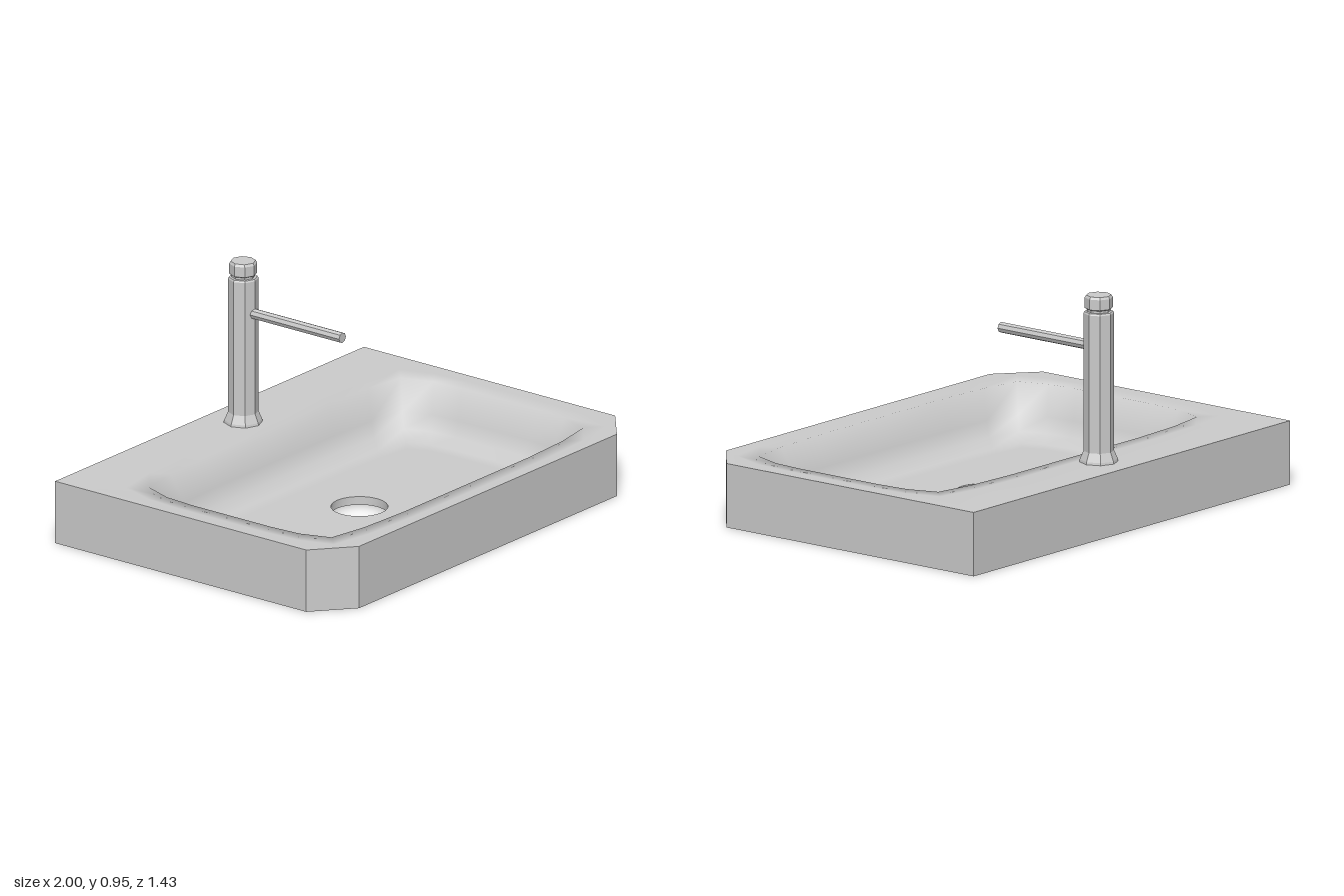
import * as THREE from 'three';

const RIM = 0.265, FLOOR = 0.045, BOWL_Z = 0.09;

// Full 24-point loop from a front quarter and a back quarter (7 points each, from +x towards z)
function loop(front, back = front) {
  const points = [];
  for (let i = 0; i < 24; i++) {
    const q = Math.floor(i / 6), r = i % 6;
    const table = q < 2 ? front : back;
    const [x, z] = table[q % 2 ? 6 - r : r];
    points.push([q === 1 || q === 2 ? -x : x, q < 2 ? z : -z]);
  }
  return points;
}

// Each ring is { points, y, z }; neighbouring rings are joined by quads
function loft(rings) {
  const positions = [], index = [], n = 24;
  for (const { points, y, z = 0 } of rings) {
    for (const [px, pz] of points) positions.push(px, y, pz + z);
  }
  for (let k = 0; k < rings.length - 1; k++) {
    for (let i = 0; i < n; i++) {
      const a = k * n + i, a2 = k * n + (i + 1) % n;
      index.push(a, a + n, a2, a2, a + n, a2 + n);
    }
  }
  const geometry = new THREE.BufferGeometry();
  geometry.setAttribute('position', new THREE.Float32BufferAttribute(positions, 3));
  geometry.setIndex(index);
  geometry.computeVertexNormals();
  return geometry;
}

export function createModel() {
  const model = new THREE.Group();
  model.name = 'washbasin';

  const smooth = new THREE.MeshStandardMaterial({ color: 0xcccccc, side: THREE.DoubleSide });
  const flat = new THREE.MeshStandardMaterial({ color: 0xcccccc, side: THREE.DoubleSide, flatShading: true });
  const add = (parent, name, geometry, material) => {
    const mesh = new THREE.Mesh(geometry, material);
    mesh.name = name;
    parent.add(mesh);
    return mesh;
  };

  // Outline with chamfered front corners and square back corners
  const outline = loop(
    [[1, 0.09], [1, 0.29], [1, 0.575], [0.835, 0.715], [0.64, 0.715], [0.4, 0.715], [0, 0.715]],
    [[1, -0.09], [1, 0.11], [1, 0.29], [1, 0.715], [0.64, 0.715], [0.4, 0.715], [0, 0.715]]);

  // Rounded-rectangle edge of the bowl, about the bowl centre
  const edge = loop([[0.87, 0], [0.87, 0.2], [0.86, 0.34], [0.815, 0.468], [0.64, 0.498], [0.4, 0.51], [0, 0.51]]);
  const inset = d => edge.map(([x, z]) => [x * (1 - d / 0.87), z * (1 - d / 0.51)]);
  const drain = edge.map((_, i) => {
    const a = i * Math.PI / 12;
    return [0.115 * Math.cos(a), 0.115 * Math.sin(a)];
  });

  // Deck and bowl in one smooth surface
  add(model, 'deckAndBowl', loft([
    { points: outline, y: RIM },
    { points: inset(-0.07), y: RIM, z: BOWL_Z },
    { points: edge, y: RIM - 0.003, z: BOWL_Z },
    { points: inset(0.045), y: 0.14, z: BOWL_Z },
    { points: inset(0.075), y: 0.08, z: BOWL_Z },
    { points: inset(0.13), y: 0.05, z: BOWL_Z },
    { points: inset(0.18), y: FLOOR, z: BOWL_Z },
    { points: drain, y: FLOOR, z: 0.055 },
  ]), smooth);

  // Outer walls, open underneath
  add(model, 'outerWalls', loft([{ points: outline, y: 0 }, { points: outline, y: RIM }]), flat);

  // Short lip of the drain hole
  add(model, 'drainLip', loft([
    { points: drain, y: FLOOR, z: 0.055 },
    { points: drain, y: 0.01, z: 0.055 },
  ]), smooth);

  // Faucet
  const faucet = new THREE.Group();
  faucet.name = 'faucet';
  faucet.position.set(0.016, 0, -0.555);
  model.add(faucet);

  const turned = profile => new THREE.LatheGeometry(profile.map(([r, y]) => new THREE.Vector2(r, y)), 8);
  add(faucet, 'faucetBody', turned([
    [0.079, RIM], [0.077, 0.275], [0.062, 0.31], [0.062, 0.88], [0.058, 0.887], [0.048, 0.888],
  ]), flat);
  add(faucet, 'faucetCap', turned([
    [0.048, 0.886], [0.048, 0.897], [0.057, 0.902], [0.057, 0.945], [0.051, 0.955], [0, 0.955],
  ]), flat);

  // Straight spout reaching over the drain
  const spout = add(faucet, 'spout', new THREE.CylinderGeometry(0.022, 0.022, 0.47, 8), flat);
  spout.rotation.x = Math.PI / 2;
  spout.position.set(0, 0.74, 0.275);

  return model;
}
